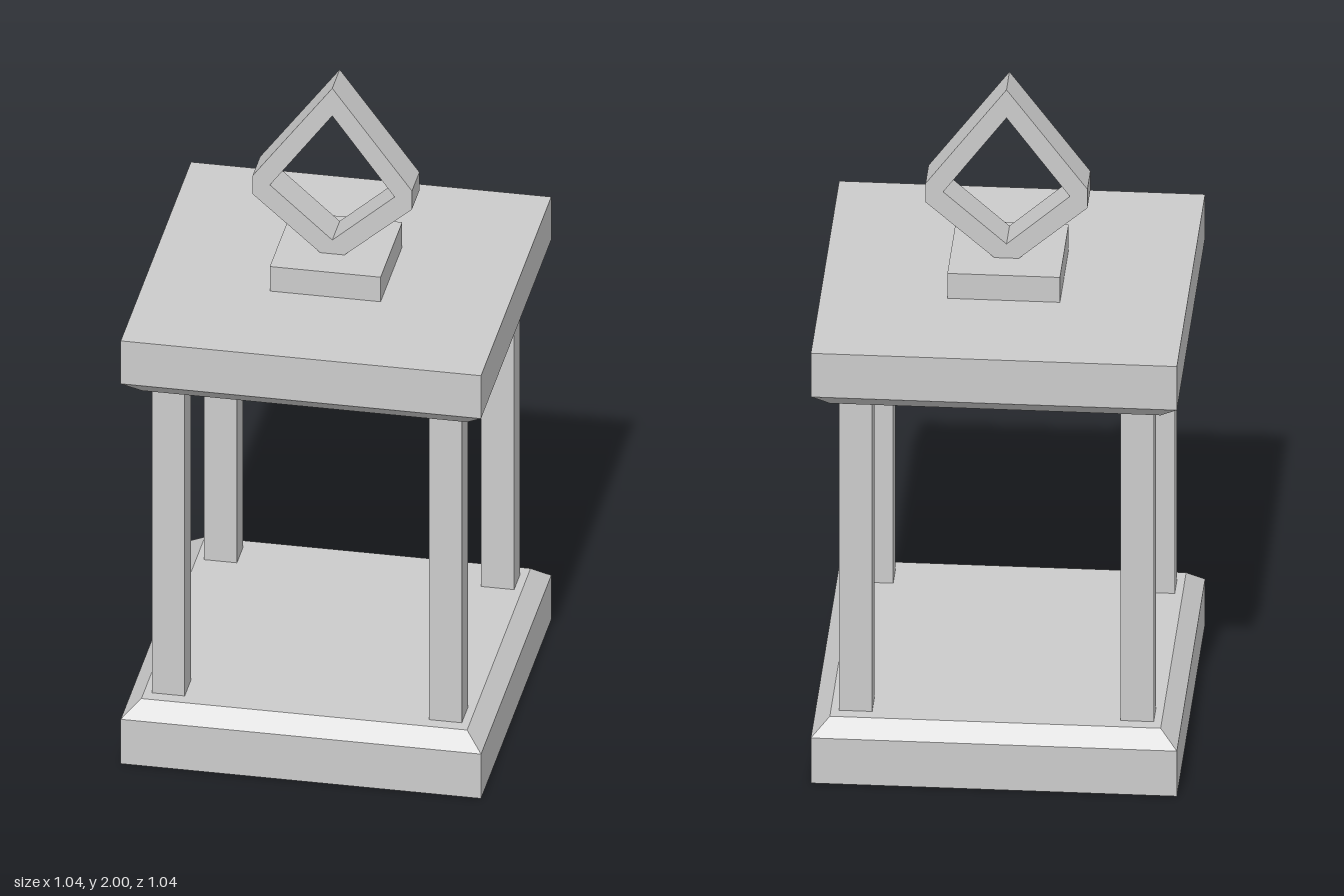
import * as THREE from 'three';

const material = new THREE.MeshStandardMaterial({ color: 0xcccccc, flatShading: true });

function addPart(parent, name, geometry, x = 0, y = 0, z = 0) {
  const mesh = new THREE.Mesh(geometry, material);
  mesh.name = name;
  mesh.position.set(x, y, z);
  parent.add(mesh);
  return mesh;
}

// Square slab from a profile of [half width, height], listed bottom to top
function squareSlab(profile) {
  const points = profile.map(([half, y]) => new THREE.Vector2(half * Math.SQRT2, y));
  points.unshift(new THREE.Vector2(0, profile[0][1]));
  points.push(new THREE.Vector2(0, profile[profile.length - 1][1]));
  const geometry = new THREE.LatheGeometry(points, 4, Math.PI / 4).toNonIndexed();
  geometry.computeVertexNormals();
  return geometry;
}

// Angular hanging loop with a kite-shaped opening
function loopGeometry(depth) {
  const toPoints = (list) => list.map(([x, y]) => new THREE.Vector2(x, y));
  const shape = new THREE.Shape(toPoints([
    [0, 2], [-0.23, 1.69], [-0.23, 1.63], [-0.035, 1.46],
    [0.035, 1.46], [0.23, 1.63], [0.23, 1.69],
  ]));
  shape.holes.push(new THREE.Path(toPoints([[0, 1.91], [0.18, 1.665], [0, 1.505], [-0.18, 1.665]])));
  const geometry = new THREE.ExtrudeGeometry(shape, { depth, bevelEnabled: false });
  return geometry.translate(0, 0, -depth / 2);
}

export function createModel() {
  const model = new THREE.Group();
  model.name = 'lanternFrame';

  // Base and roof slabs, chamfered on the edges that face each other
  addPart(model, 'base', squareSlab([[0.52, 0], [0.52, 0.145], [0.47, 0.19]]));
  addPart(model, 'roof', squareSlab([[0.47, 1.195], [0.52, 1.24], [0.52, 1.38]]));

  // Corner posts
  const posts = new THREE.Group();
  posts.name = 'posts';
  model.add(posts);
  const postGeometry = new THREE.BoxGeometry(0.095, 1.005, 0.09);
  for (const [sx, side] of [[1, 'left'], [-1, 'right']]) {
    for (const [sz, end] of [[1, 'Front'], [-1, 'Back']]) {
      addPart(posts, `${side}${end}Post`, postGeometry, sx * 0.4, 0.6925, sz * 0.387);
    }
  }

  // Cap block and hanging loop
  addPart(model, 'capBlock', new THREE.BoxGeometry(0.32, 0.08, 0.32), 0, 1.42, 0);
  addPart(model, 'hangingLoop', loopGeometry(0.11));

  return model;
}
